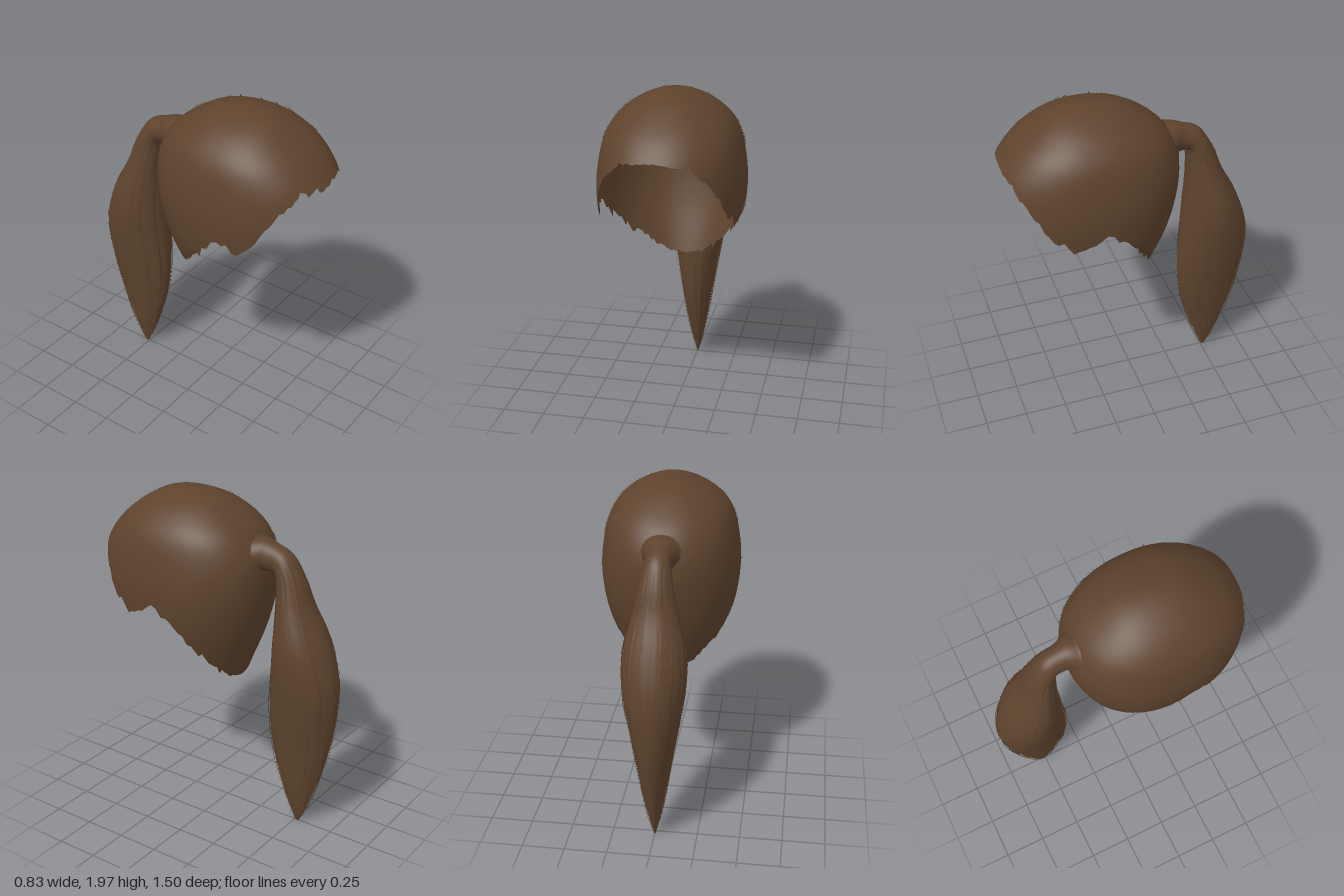
import * as THREE from 'three';
import { mergeGeometries } from 'three/addons/utils/BufferGeometryUtils.js';

const V3 = (x, y, z) => new THREE.Vector3(x, y, z);

// Small seeded random numbers
let seed = 7;
const rand = (a = 0, b = 1) => {
  seed = (seed * 16807) % 2147483647;
  return a + (b - a) * (seed / 2147483647);
};

// Grid surface from fn(v, u); closed grids share the seam vertices
function grid(fn, rows, cols, closed = false) {
  const pos = [], idx = [], n = closed ? cols : cols + 1;
  for (let i = 0; i <= rows; i++)
    for (let j = 0; j < n; j++) pos.push(...fn(i / rows, j / cols, i, j).toArray());
  for (let i = 0; i < rows; i++)
    for (let j = 0; j < cols; j++) {
      const a = i * n + j, b = i * n + ((j + 1) % n);
      idx.push(a, a + n, b, b, a + n, b + n);
    }
  const g = new THREE.BufferGeometry();
  g.setAttribute('position', new THREE.Float32BufferAttribute(pos, 3));
  g.setIndex(idx);
  g.computeVertexNormals();
  return g;
}

// Cap slices, evenly spaced in s = sqrt(2 - y): half width, front z, back z
const S_MAX = 1.05, MID_Z = 0.25;
const capCurve = new THREE.CatmullRomCurve3([
  V3(0, 0.25, 0.25), V3(0.12, 0.41, 0.08), V3(0.25, 0.54, -0.06), V3(0.35, 0.68, -0.2),
  V3(0.395, 0.785, -0.272), V3(0.41, 0.8, -0.268), V3(0.37, 0.8, -0.21), V3(0.25, 0.8, -0.1),
], false, 'catmullrom');

const power = (v) => Math.sign(v) * Math.abs(v) ** 0.91;

// Point on the cap: angle a from the front towards +x, depth s, lift off the surface
function capPoint(a, s, lift = 0) {
  const p = capCurve.getPoint(Math.min(s / S_MAX, 1));
  const c = power(Math.cos(a)), depth = c > 0 ? p.y - MID_Z : MID_Z - p.z;
  return V3((p.x + lift) * power(Math.sin(a)), 2 - s * s + lift * Math.max(0, 1 - s), MID_Z + (depth + lift) * c);
}

// Hairline height by angle in degrees, for each side
const rimLeft = [[0, 1.72], [27, 1.69], [44, 1.58], [56, 1.43], [72, 1.32], [80, 1.33], [88, 1.4], [95, 1.36],
  [104, 1.27], [115, 1.19], [128, 1.07], [145, 0.97], [165, 0.915], [180, 0.9]];
const rimRight = [[0, 1.72], [27, 1.7], [44, 1.6], [56, 1.46], [72, 1.33], [84, 1.36], [95, 1.24],
  [106, 1.17], [116, 1.1], [128, 1.05], [140, 0.99], [160, 0.92], [180, 0.9]];

function rimDepth(a) {
  const table = Math.sin(a) >= 0 ? rimLeft : rimRight;
  const deg = THREE.MathUtils.radToDeg(Math.acos(THREE.MathUtils.clamp(Math.cos(a), -1, 1)));
  const k = Math.max(1, table.findIndex((r) => r[0] >= deg - 1e-6));
  const [d0, y0] = table[k - 1], [d1, y1] = table[k];
  return Math.sqrt(2 - THREE.MathUtils.lerp(y0, y1, (deg - d0) / (d1 - d0)));
}

// Ponytail sections: centre z, centre y, half width in x, half thickness
const sections = [
  [-0.225, 1.68, 0.13, 0.11], [-0.26, 1.685, 0.1, 0.1], [-0.31, 1.68, 0.077, 0.085], [-0.37, 1.665, 0.076, 0.075],
  [-0.41, 1.62, 0.085, 0.07], [-0.44, 1.53, 0.1, 0.085], [-0.465, 1.4, 0.13, 0.105], [-0.51, 1.2, 0.172, 0.158],
  [-0.54, 0.98, 0.165, 0.195], [-0.53, 0.75, 0.13, 0.195], [-0.52, 0.5, 0.088, 0.16], [-0.52, 0.28, 0.055, 0.1],
  [-0.52, 0.12, 0.026, 0.05], [-0.515, 0.03, 0.005, 0.012],
];
const tailPath = new THREE.CatmullRomCurve3(sections.map(([z, y]) => V3(0, y, z)), false, 'catmullrom');
const tailSize = new THREE.CatmullRomCurve3(sections.map(([, , w, d]) => V3(w, d, 0)), false, 'catmullrom');

function tailPoint(t, a, scale = 1) {
  const c = tailPath.getPoint(t), d = tailPath.getTangent(t), r = tailSize.getPoint(t);
  const w = r.x * scale * Math.cos(a), h = r.y * scale * Math.sin(a);
  return V3(w, c.y + h * d.z, c.z - h * d.y);
}

export function createModel() {
  seed = 7;
  const model = new THREE.Group();
  const brown = new THREE.MeshStandardMaterial({ color: 0x5e432d, side: THREE.DoubleSide });
  brown.name = 'brown hair';
  const add = (name, geometry) => {
    const mesh = new THREE.Mesh(geometry, brown);
    mesh.name = name;
    model.add(mesh);
  };

  // Swept-back cap with a ragged hairline
  add('hairCap', grid((v, u, i) => {
    const a = u * Math.PI * 2, side = Math.abs(Math.sin(a));
    const jag = i === 28 ? rand(-0.018, 0.018) * side : 0;
    return capPoint(a, rimDepth(a) * v + jag);
  }, 28, 120, true));

  // Gathered neck and ponytail body with soft ridges
  add('ponytail', grid((v, u) => {
    const a = u * Math.PI * 2, k = THREE.MathUtils.smoothstep(v, 0.2, 0.5);
    return tailPoint(v, a, 1 + k * (0.03 * Math.sin(a * 13) + 0.025 * Math.sin(a * 22 + 1)));
  }, 70, 88, true));

  // Tapered locks lying along the ponytail
  const locks = [];
  for (let k = 0; k < 110; k++) {
    const a = (k / 110) * Math.PI * 2 + rand(-0.05, 0.05);
    const start = rand(0.3, 0.42), end = rand(0.86, 0.995), scale = rand(1.0, 1.07);
    const width = rand(0.03, 0.09), sway = rand(-0.15, 0.15);
    locks.push(grid((v, u) => {
      const t = THREE.MathUtils.lerp(start, end, v);
      const taper = Math.min(1, v * 6) * (1 - v ** 3);
      return tailPoint(t, a + sway * v + (u - 0.5) * 2 * width * taper, scale + 0.25 * v ** 4);
    }, 18, 1));
  }
  add('ponytailLocks', mergeGeometries(locks));

  // Fine strands on the cap: sides sweep to the tie, top strands run fore and aft
  const strands = [];
  for (let k = 0; k < 16; k++) {
    const side = k % 2 ? 1 : -1, a0 = rand(1.0, 2.3), s0 = rand(0.45, 0.75), lift = rand(0.003, 0.008);
    strands.push(grid((v, u) => {
      const a = THREE.MathUtils.lerp(a0, 2.95, v) * side;
      const s = THREE.MathUtils.lerp(s0, 0.56, v) + (u - 0.5) * 0.008 * Math.sin(Math.PI * v);
      return capPoint(a, s, lift);
    }, 16, 1));
  }
  for (let k = 0; k < 20; k++) {
    const a = (k / 20) * Math.PI * 2 + rand(-0.1, 0.1), from = rand(0.15, 0.25), to = rand(0.35, 0.5), lift = rand(0.004, 0.01);
    strands.push(grid((v, u) =>
      capPoint(a + (u - 0.5) * 0.025 * Math.sin(Math.PI * v), THREE.MathUtils.lerp(from, to, v), lift), 12, 1));
  }
  add('capStrands', mergeGeometries(strands));

  return model;
}
